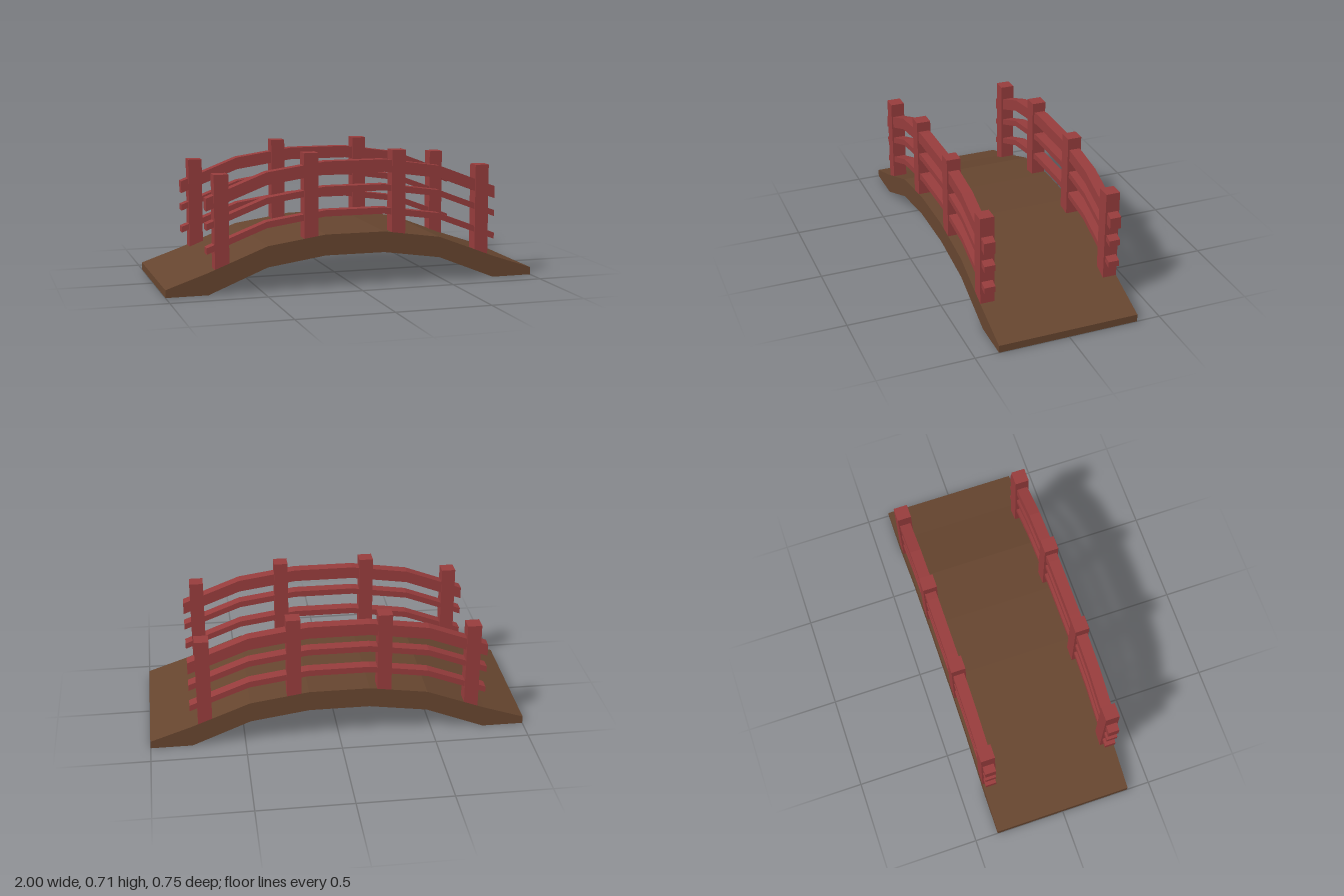
import * as THREE from 'three';

const red = new THREE.MeshStandardMaterial({ color: 0x963c3c, flatShading: true });
const brown = new THREE.MeshStandardMaterial({ color: 0x66452f, flatShading: true });

// Right half of the deck's upper line, from the crown to the end
const deckTop = [[0.16, 0.28], [0.47, 0.235], [0.78, 0.115], [1, 0.04]];
const deckBottom = [[0.16, 0.17], [0.47, 0.125], [0.78, 0], [1, 0]];
// Arch of a rail, relative to the underside of its end
const railArch = [[0.16, 0.166], [0.47, 0.121], [0.785, 0]];

// Full line from left to right out of a mirrored half
const mirrored = (half) => [...half.map(([x, y]) => [-x, y]).reverse(), ...half];

// Closed outline between a lower and an upper line, extruded from z0 to z1
function slab(name, lower, upper, z0, z1, material) {
  const points = [...lower, ...[...upper].reverse()].map(([x, y]) => new THREE.Vector2(x, y));
  const geometry = new THREE.ExtrudeGeometry(new THREE.Shape(points), { depth: z1 - z0, bevelEnabled: false });
  geometry.translate(0, 0, z0);
  const mesh = new THREE.Mesh(geometry, material);
  mesh.name = name;
  return mesh;
}

// Height of the deck's upper surface at x
function deckHeight(x) {
  const line = mirrored(deckTop);
  const i = Math.max(1, line.findIndex(([px]) => px >= x));
  const [[x0, y0], [x1, y1]] = [line[i - 1], line[i]];
  return y0 + ((x - x0) / (x1 - x0)) * (y1 - y0);
}

function createRailing(name, side) {
  const railing = new THREE.Group();
  railing.name = name;
  const zRange = (a, b) => (side > 0 ? [a, b] : [-b, -a]);

  // Square posts with feet cut to the slope of the deck
  for (const [x, top] of [[-0.708, 0.612], [-0.238, 0.706], [0.238, 0.706], [0.708, 0.612]]) {
    const [a, b] = [x - 0.0375, x + 0.0375];
    railing.add(slab('post', [[a, deckHeight(a)], [b, deckHeight(b)]], [[a, top], [b, top]], ...zRange(0.3, 0.375), red));
  }

  // Two thin rails and a thick handrail, all following the arch
  for (const [part, y, height] of [['lowerRail', 0.207, 0.033], ['middleRail', 0.33, 0.033], ['handrail', 0.428, 0.065]]) {
    const lower = mirrored(railArch).map(([x, dy]) => [x, y + dy]);
    const upper = lower.map(([x, ly]) => [x, ly + height]);
    railing.add(slab(part, lower, upper, ...zRange(0.309, 0.368), red));
  }
  return railing;
}

export function createModel() {
  const bridge = new THREE.Group();
  bridge.name = 'archedFootbridge';
  bridge.add(slab('deck', mirrored(deckBottom), mirrored(deckTop), -0.375, 0.375, brown));
  bridge.add(createRailing('frontRailing', 1), createRailing('backRailing', -1));
  return bridge;
}
